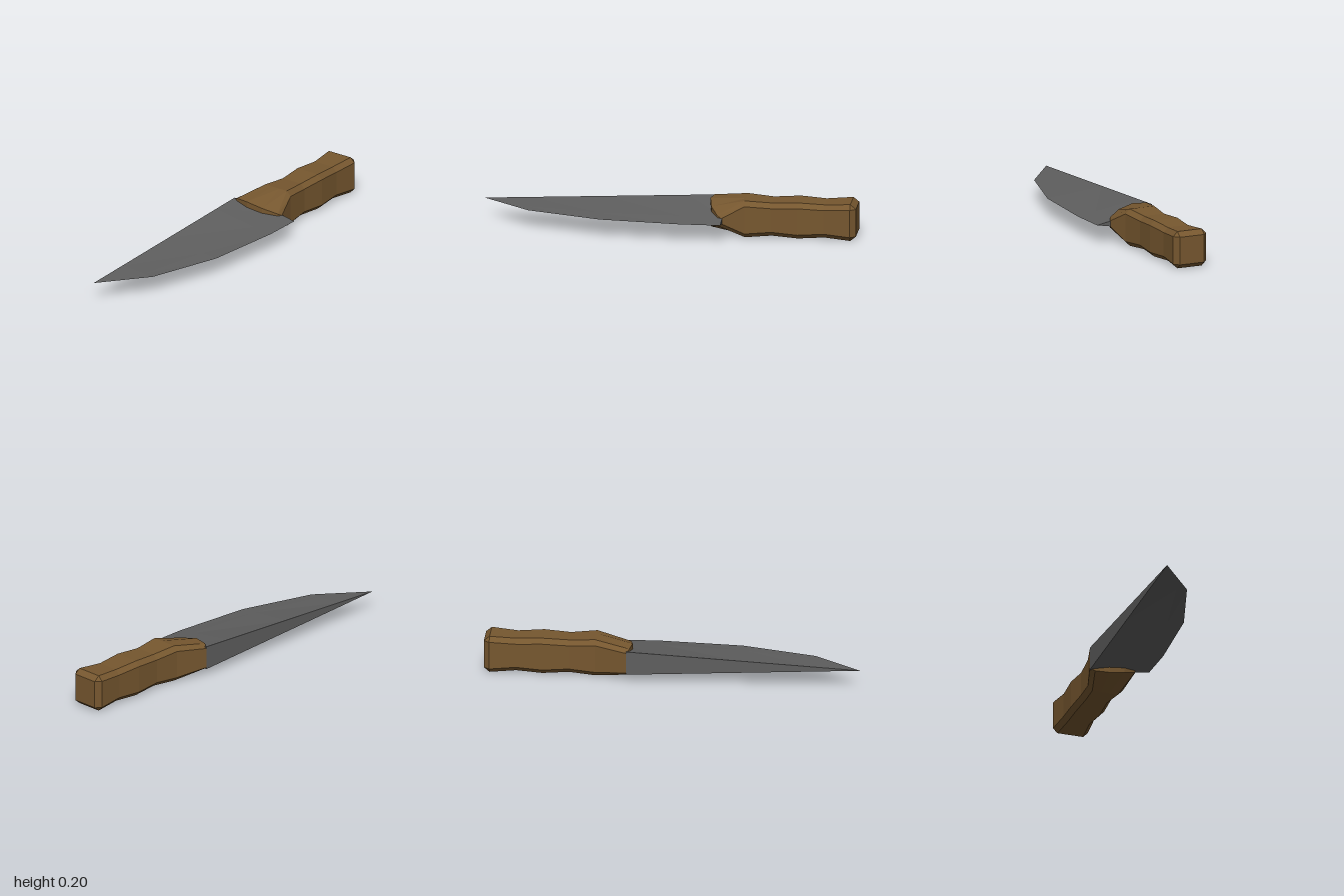
import * as THREE from 'three';

const MID_Y = 0.1;

// Skins closed rings of points (ordered back-to-front on top, front-to-back below) and caps both ends.
function loft(rings) {
  const pos = [];
  const tri = (a, b, c) => {
    const area = new THREE.Triangle(a, b, c).getArea();
    if (area > 1e-8) for (const p of [a, b, c]) pos.push(p.x, p.y, p.z);
  };
  const quad = (a, b, c, d) => { tri(a, b, c); tri(a, c, d); };
  const n = rings[0].length;
  for (let i = 0; i < rings.length - 1; i++) {
    for (let j = 0; j < n; j++) {
      const k = (j + 1) % n;
      quad(rings[i][j], rings[i][k], rings[i + 1][k], rings[i + 1][j]);
    }
  }
  const first = rings[0], last = rings[rings.length - 1];
  for (let j = 0; j < n / 2 - 1; j++) {
    quad(last[j], last[j + 1], last[n - 2 - j], last[n - 1 - j]);
    quad(first[n - 1 - j], first[n - 2 - j], first[j + 1], first[j]);
  }
  const g = new THREE.BufferGeometry();
  g.setAttribute('position', new THREE.Float32BufferAttribute(pos, 3));
  g.computeVertexNormals();
  return g;
}

// Mirrors an upper half outline of [x, half height, z] into a full ring.
function ring(half) {
  const up = half.map(([x, h, z]) => new THREE.Vector3(x, MID_Y + h, z));
  const down = half.map(([x, h, z]) => new THREE.Vector3(x, MID_Y - h, z)).reverse();
  return [...up, ...down];
}

// Blade: straight thick spine, curved edge tapering to zero thickness.
function bladeGeometry() {
  const spineZ = -0.18;
  const stations = [ // spine x, edge x, edge z
    [-1, -1, -0.18], [-0.745, -0.745, 0.02], [-0.35, -0.35, 0.14],
    [0.08, 0.08, 0.175], [0.24, 0.295, 0.172],
  ];
  return loft(stations.map(([sx, ex, ez]) => {
    const h = 0.064 * (sx + 1) / 1.24;
    const t = 0.72;
    return ring([
      [sx, h, spineZ],
      [ex, h * (1 - t), THREE.MathUtils.lerp(spineZ, ez, t)],
      [ex, 0, ez],
    ]);
  }));
}

// Handle: chamfered wavy grip with a curved, tapered collar over the blade.
function handleGeometry() {
  const c = 0.025;
  const collar = [
    [0.24, 0.055, -0.18], [0.225, 0.072, -0.155], [0.213, 0.075, -0.08],
    [0.228, 0.055, 0.01], [0.268, 0.028, 0.082], [0.29, 0.014, 0.093],
  ];
  const grip = [ // x, half height, back z, front z
    [0.41, 0.1, -0.132, 0.062], [0.55, 0.09, -0.12, 0.048], [0.69, 0.098, -0.128, 0.057],
    [0.83, 0.09, -0.12, 0.048], [0.97, 0.1, -0.131, 0.062],
  ];
  const section = ([x, h, zb, zf], endCap) => {
    const b = zb + c, f = zf - c, top = endCap ? h - c : h;
    return ring([
      [x, h - c, endCap ? b : zb], [x, top, b],
      [x, top, THREE.MathUtils.lerp(b, f, 1 / 3)], [x, top, THREE.MathUtils.lerp(b, f, 2 / 3)],
      [x, top, f], [x, h - c, endCap ? f : zf],
    ]);
  };
  const butt = [1, 0.1, -0.131, 0.062];
  return loft([ring(collar), ...grip.map((s) => section(s, false)), section(butt, true)]);
}

export function createModel() {
  const steel = new THREE.MeshStandardMaterial({ color: 0x5e5e5e });
  steel.name = 'steel';
  const wood = new THREE.MeshStandardMaterial({ color: 0x76572f });
  wood.name = 'wood';

  const group = new THREE.Group();
  group.name = 'knife';
  const add = (name, geometry, material) => {
    const mesh = new THREE.Mesh(geometry, material);
    mesh.name = name;
    group.add(mesh);
  };
  add('blade', bladeGeometry(), steel);
  add('handle', handleGeometry(), wood);
  return group;
}
